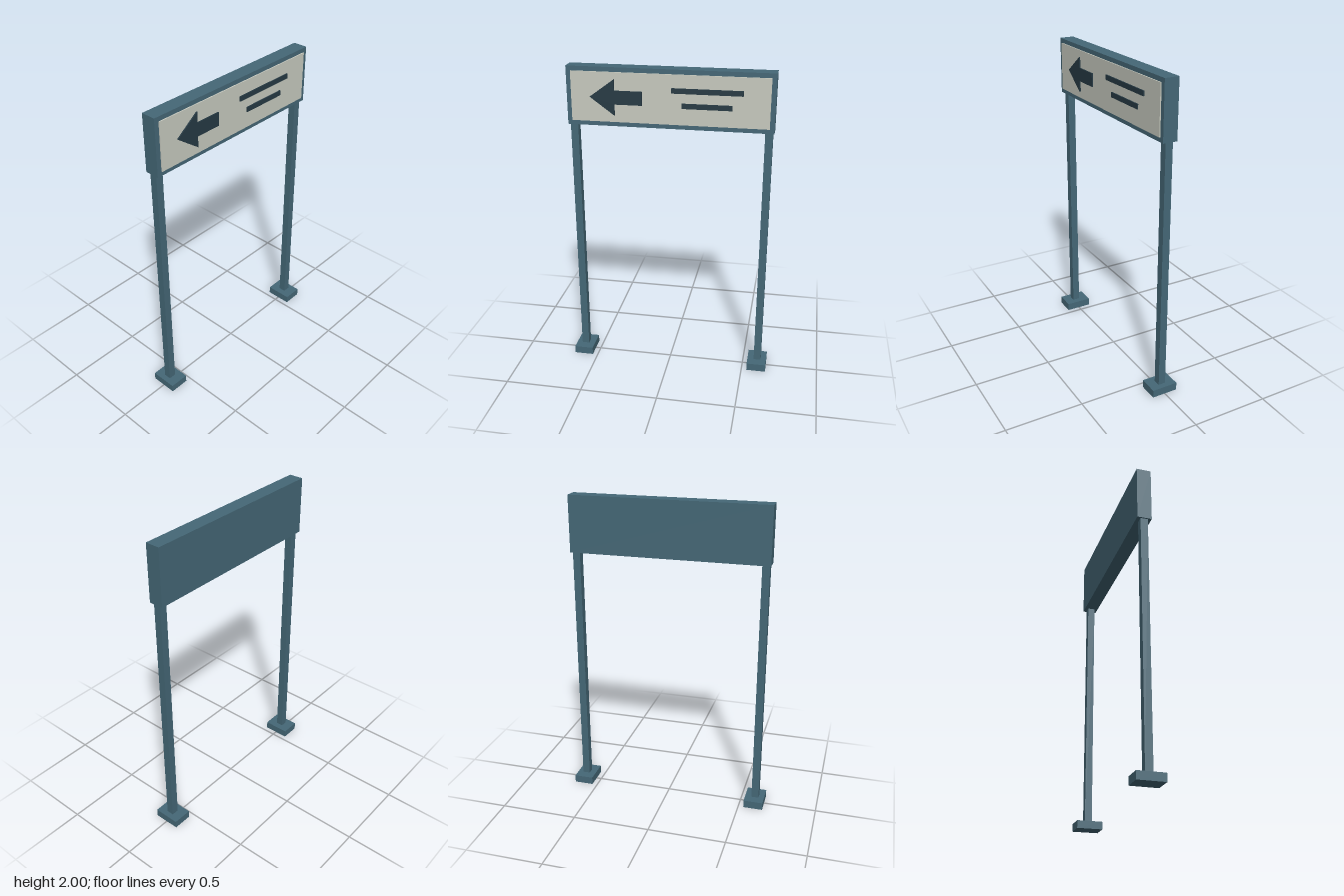
import * as THREE from 'three';

export function createModel() {
  const group = new THREE.Group();
  const steel = new THREE.MeshStandardMaterial({ color: 0x456877 });
  const cream = new THREE.MeshStandardMaterial({ color: 0xc8cbc0 });
  const dark = new THREE.MeshStandardMaterial({ color: 0x263a44 });

  const add = (name, geometry, material, x, y, z) => {
    const mesh = new THREE.Mesh(geometry, material);
    mesh.name = name;
    mesh.position.set(x, y, z);
    group.add(mesh);
  };
  const box = (name, material, w, h, d, x, y, z) =>
    add(name, new THREE.BoxGeometry(w, h, d), material, x, y, z);

  // Mirrored posts on square-edged foot plates
  for (const [side, s] of [['left', 1], ['right', -1]]) {
    box(side + 'Foot', steel, 0.125, 0.05, 0.17, s * 0.597, 0.025, 0);
    box(side + 'Post', steel, 0.047, 1.6, 0.047, s * 0.6, 0.845, 0);
  }

  // Sign cabinet with a raised face panel
  box('signCabinet', steel, 1.264, 0.36, 0.092, 0, 1.82, 0);
  box('facePanel', cream, 1.206, 0.304, 0.012, 0, 1.82, 0.047);

  // Raised arrow pointing to the sign's right
  const arrow = new THREE.Shape([
    [-0.485, 0], [-0.333, -0.111], [-0.333, -0.042], [-0.164, -0.042],
    [-0.164, 0.042], [-0.333, 0.042], [-0.333, 0.111],
  ].map(([x, y]) => new THREE.Vector2(x, y)));
  add('arrow', new THREE.ExtrudeGeometry(arrow, { depth: 0.01, bevelEnabled: false }),
    dark, 0, 1.82, 0.051);

  // Plain raised bars beside the arrow
  box('upperBar', dark, 0.427, 0.031, 0.01, 0.229, 1.876, 0.056);
  box('lowerBar', dark, 0.302, 0.031, 0.01, 0.228, 1.786, 0.056);

  return group;
}
